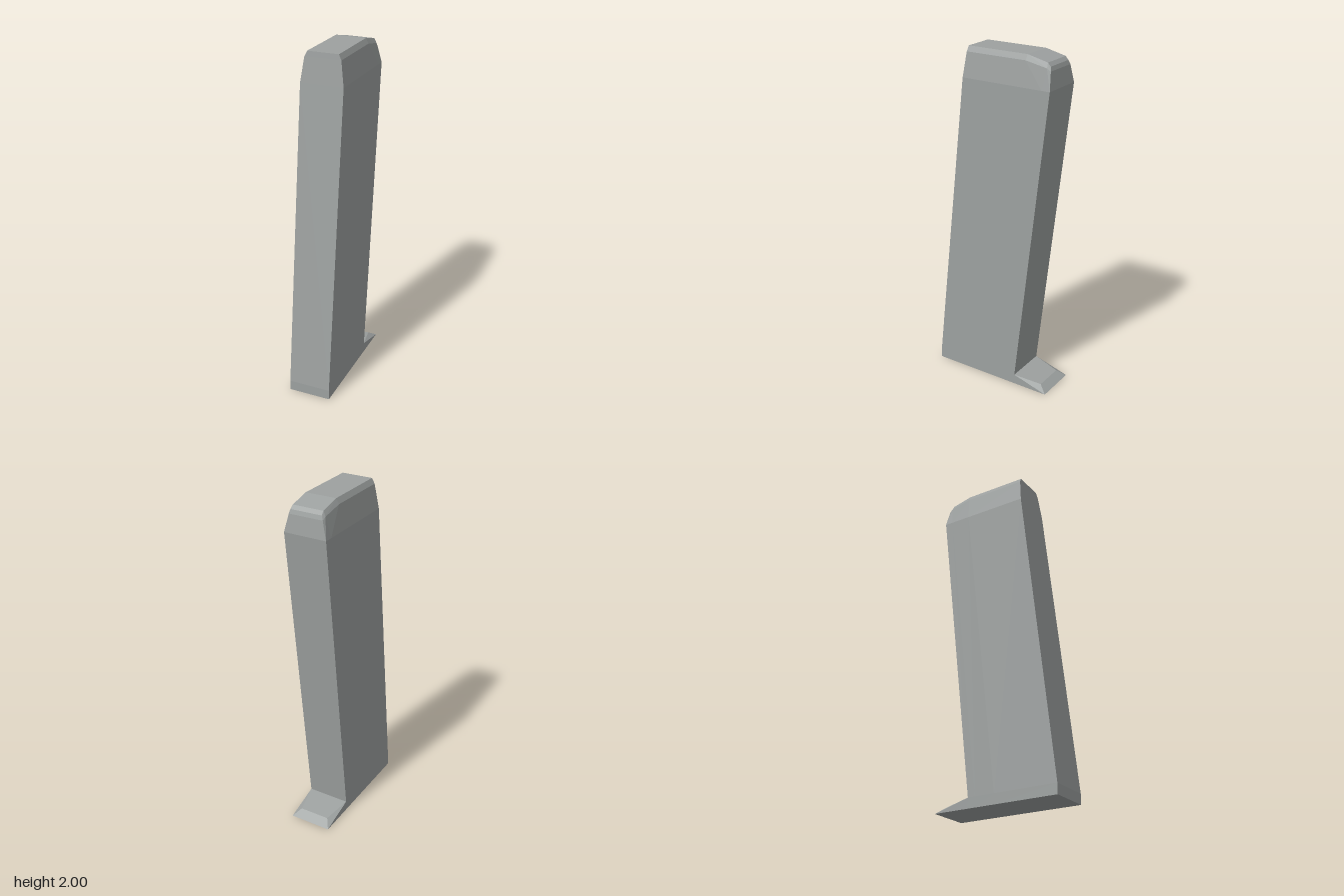
import * as THREE from 'three';

// Skins cross-sections running front to back. Each section lists the left half
// as [x, y, z] from the floor up; the right half is mirrored.
function loft(sections) {
  const rings = sections.map((half) => [
    ...half,
    ...half.slice().reverse().map(([x, y, z]) => [-x, y, z]),
  ]);
  const n = rings[0].length;
  const position = [];
  const tri = (...corners) => corners.forEach((p) => position.push(...p));

  for (let s = 0; s < rings.length - 1; s++) {
    for (let i = 0; i < n; i++) {
      const j = (i + 1) % n;
      const a = rings[s][i], b = rings[s][j];
      const c = rings[s + 1][j], d = rings[s + 1][i];
      // Mirror the diagonal so both sides match
      if (i < n / 2) {
        tri(a, d, b);
        tri(d, c, b);
      } else {
        tri(a, d, c);
        tri(a, c, b);
      }
    }
  }
  // Front and back caps
  const front = rings[0], back = rings[rings.length - 1];
  for (let i = 0; i < n / 2 - 1; i++) {
    const k = n - 1 - i;
    tri(front[i], front[i + 1], front[k - 1]);
    tri(front[i], front[k - 1], front[k]);
    tri(back[i], back[k - 1], back[i + 1]);
    tri(back[i], back[k], back[k - 1]);
  }
  const geometry = new THREE.BufferGeometry();
  geometry.setAttribute('position', new THREE.Float32BufferAttribute(position, 3));
  geometry.computeVertexNormals();
  return geometry;
}

export function createModel() {
  const group = new THREE.Group();
  group.name = 'leaningPost';
  const grey = new THREE.MeshStandardMaterial({ color: 0x9da1a0 });
  grey.name = 'grey';

  const add = (name, sections) => {
    const mesh = new THREE.Mesh(loft(sections), grey);
    mesh.name = name;
    group.add(mesh);
  };

  // Leaning slab with a bevelled, rounded-back top
  const W = 0.125;
  add('slab', [
    [[W, 0, 0.38], [W, 0.06, 0.38], [W, 1.83, 0.179], [0.105, 1.97, 0.163], [0.09, 2, 0.16]],
    [[W, 0, 0], [W, 0.06, 0], [W, 1.83, -0.2], [0.105, 1.97, -0.21], [0.09, 2, -0.213]],
    [[W, 0, -0.12], [W, 0.06, -0.12], [W, 1.83, -0.32], [0.104, 1.945, -0.338], [0.09, 1.972, -0.335]],
    [[W, 0, -0.165], [W, 0.06, -0.165], [W, 1.83, -0.37], [0.1, 1.93, -0.359], [0.09, 1.953, -0.352]],
  ]);

  // Low wedge foot behind the base
  add('foot', [
    [[W, 0, -0.165], [W, 0.06, -0.165]],
    [[W, 0, -0.38], [0.09, 0.035, -0.33]],
  ]);
  return group;
}
